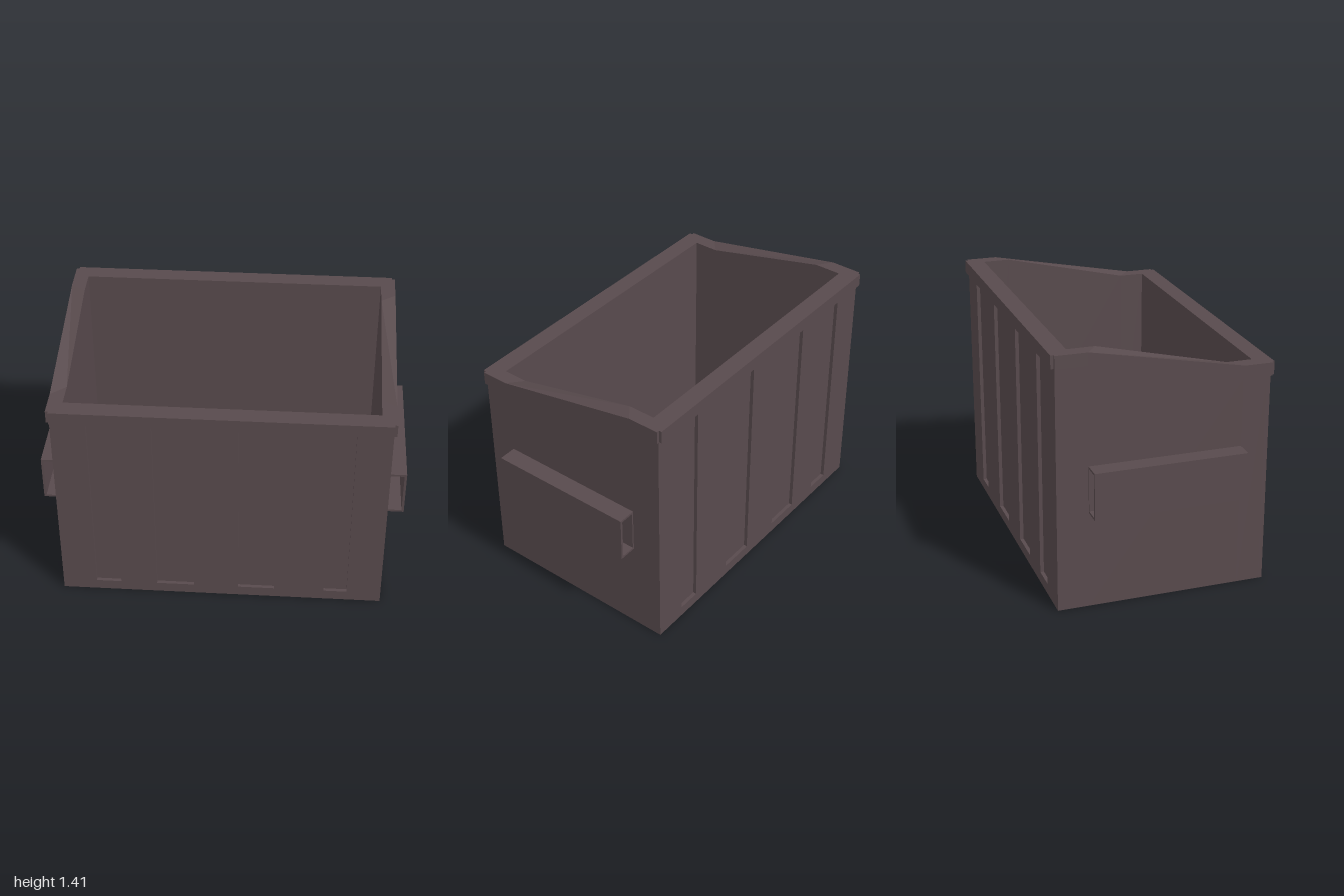
import * as THREE from 'three';

const FRONT_TOP = 1.25, BACK_TOP = 1.415, RIM = 0.072;

// One plan loop, counter-clockwise from above: half width x, half depth z,
// corner notch n, z of the front and back bends, and heights at front and back.
function ring(x, z, n, bendF, bendB, yF, yB) {
  const right = [
    [x - n, yF, z], [x - n, yF, z - n], [x, yF, z - n], [x, yF, bendF],
    [x, yB, bendB], [x, yB, -z + n], [x - n, yB, -z + n], [x - n, yB, -z],
  ];
  const left = right.map(([px, py, pz]) => [-px, py, pz]).reverse();
  return [...right, ...left];
}

// Skin a stack of loops and cap the first (underside) and last (inner floor)
function skin(rings) {
  const pos = [];
  const tri = (a, b, c) => {
    const [A, B, C] = [a, b, c].map((p) => new THREE.Vector3(...p));
    const area = B.clone().sub(A).cross(C.clone().sub(A)).length();
    if (area > 1e-8) pos.push(...a, ...b, ...c);
  };
  const n = rings[0].length;
  for (let r = 0; r < rings.length - 1; r++) {
    for (let i = 0; i < n; i++) {
      const j = (i + 1) % n, lo = rings[r], hi = rings[r + 1];
      tri(lo[i], lo[j], hi[j]);
      tri(lo[i], hi[j], hi[i]);
    }
  }
  const base = rings[0], floor = rings[rings.length - 1];
  for (let i = 1; i < n - 1; i++) {
    tri(base[0], base[i + 1], base[i]);
    tri(floor[0], floor[i], floor[i + 1]);
  }
  const geo = new THREE.BufferGeometry();
  geo.setAttribute('position', new THREE.Float32BufferAttribute(pos, 3));
  geo.computeVertexNormals();
  return geo;
}

function rect(Type, x0, x1, y0, y1) {
  const p = new Type();
  p.moveTo(x0, y0);
  p.lineTo(x1, y0);
  p.lineTo(x1, y1);
  p.lineTo(x0, y1);
  p.closePath();
  return p;
}

export function createModel() {
  const model = new THREE.Group();
  model.name = 'dumpster';
  const paint = new THREE.MeshStandardMaterial({ color: 0x584a4d });
  paint.name = 'dark brown grey paint';

  const add = (name, geo) => {
    const mesh = new THREE.Mesh(geo, paint);
    mesh.name = name;
    model.add(mesh);
    return mesh;
  };

  // Open bin: outer walls, overhanging sloped rim, inner walls and floor
  const lowF = FRONT_TOP - RIM, lowB = BACK_TOP - RIM;
  add('binAndRim', skin([
    ring(0.9, 0.56, 0, 0.43, -0.41, 0, 0),
    ring(0.9, 0.56, 0, 0.43, -0.41, lowF, lowB),
    ring(0.915, 0.6, 0.016, 0.43, -0.41, lowF, lowB),
    ring(0.915, 0.6, 0.016, 0.43, -0.41, FRONT_TOP, BACK_TOP),
    ring(0.835, 0.5, 0, 0.36, -0.35, FRONT_TOP, BACK_TOP),
    ring(0.835, 0.5, 0, 0.36, -0.35, 0.06, 0.06),
  ]));

  // Front and back wall plates, cut out for the recessed vertical channels
  const channels = [[-0.71, -0.57], [-0.365, -0.155], [0.095, 0.3], [0.58, 0.71]];
  const plate = (name, rimBottom, z) => {
    const shape = rect(THREE.Shape, -0.9, 0.9, 0, rimBottom + 0.04);
    for (const [a, b] of channels) shape.holes.push(rect(THREE.Path, a, b, 0.06, rimBottom + 0.02));
    const geo = new THREE.ExtrudeGeometry(shape, { depth: 0.02, bevelEnabled: false });
    add(name, geo).position.z = z;
  };
  plate('frontChannelPlate', lowF, 0.56);
  plate('backChannelPlate', lowB, -0.58);

  // Hollow fork pockets on both sides
  for (const side of [1, -1]) {
    const x0 = side > 0 ? 0.895 : -1;
    const shape = rect(THREE.Shape, x0, x0 + 0.105, 0.54, 0.8);
    shape.holes.push(rect(THREE.Path, x0 + 0.013, x0 + 0.092, 0.552, 0.788));
    const geo = new THREE.ExtrudeGeometry(shape, { depth: 0.835, bevelEnabled: false });
    add(side > 0 ? 'leftForkPocket' : 'rightForkPocket', geo).position.z = -0.408;
  }
  return model;
}
